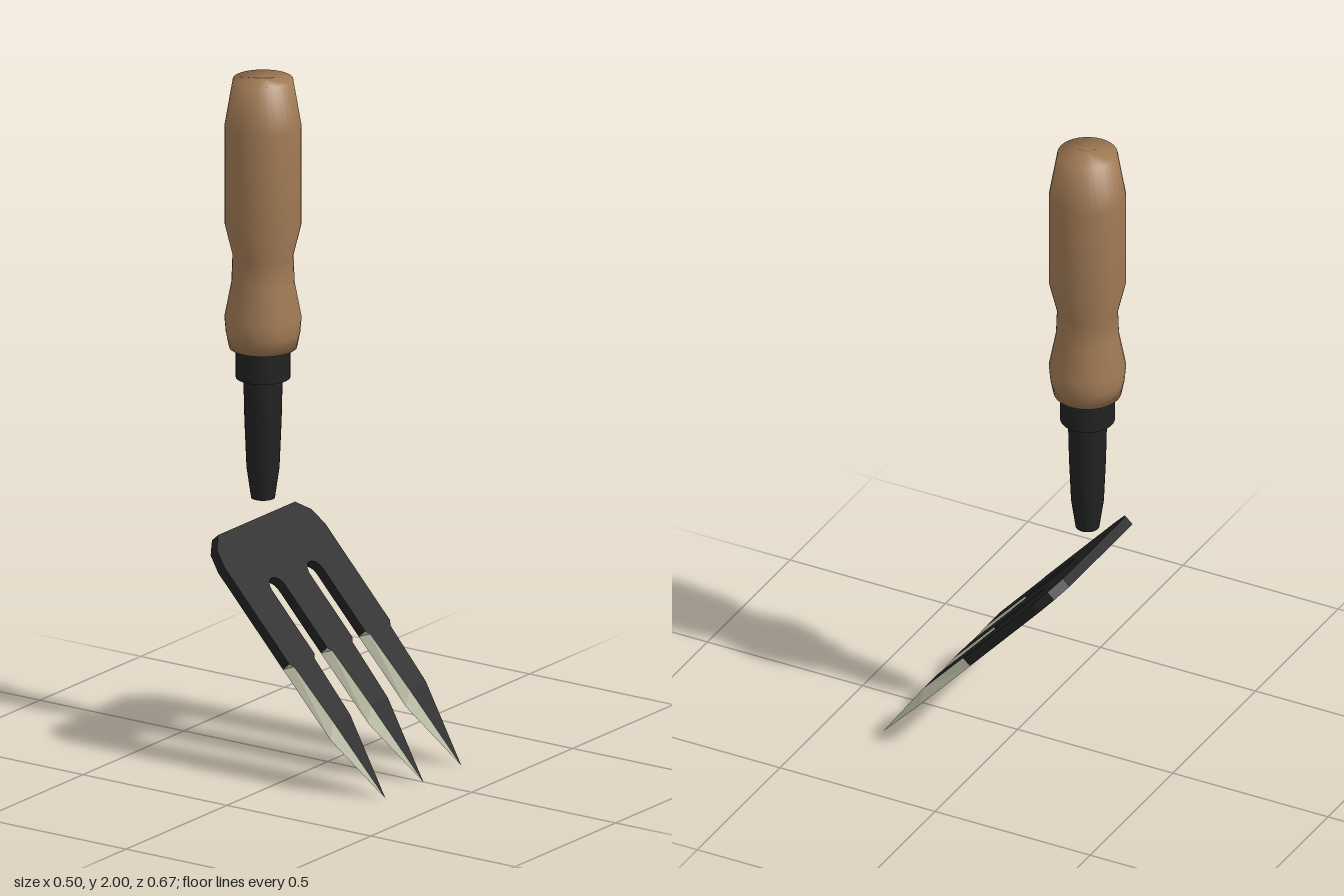
import * as THREE from 'three';
import { toCreasedNormals } from 'three/addons/utils/BufferGeometryUtils.js';

const wood = new THREE.MeshStandardMaterial({ color: 0xa07a55 });
wood.name = 'wood';
const blackMetal = new THREE.MeshStandardMaterial({ color: 0x222222 });
blackMetal.name = 'blackMetal';
const bareSteel = new THREE.MeshStandardMaterial({ color: 0xc4c6ad });
bareSteel.name = 'bareSteel';

const THICK = 0.03;
const TINE_TOP = 0.465; // where the sharpened part of a tine begins
const TINES = [-0.189, -0.001, 0.187];
const HALF = 0.062;

function lathe(name, profile, material, creased) {
  const points = profile.map(([r, y]) => new THREE.Vector2(r, y));
  let geometry = new THREE.LatheGeometry(points, 32);
  if (creased) geometry = toCreasedNormals(geometry, 0.6);
  const mesh = new THREE.Mesh(geometry, material);
  mesh.name = name;
  return mesh;
}

// Flat-faced mesh from convex polygons, each listed counter-clockwise
function facets(name, polygons, material) {
  const positions = [];
  for (const p of polygons) {
    for (let i = 1; i < p.length - 1; i++) positions.push(...p[0], ...p[i], ...p[i + 1]);
  }
  const geometry = new THREE.BufferGeometry();
  geometry.setAttribute('position', new THREE.Float32BufferAttribute(positions, 3));
  geometry.computeVertexNormals();
  const mesh = new THREE.Mesh(geometry, material);
  mesh.name = name;
  return mesh;
}

// Crossbar with the upper tines and two round-ended slots
function createPlate() {
  const s = new THREE.Shape();
  const left = TINES[0] - HALF;
  const right = TINES[2] + HALF;
  s.moveTo(left, TINE_TOP);
  for (let i = 0; i < 2; i++) {
    const a = TINES[i] + HALF;
    const b = TINES[i + 1] - HALF;
    s.lineTo(a, TINE_TOP);
    s.lineTo(a, 0.68);
    s.absellipse((a + b) / 2, 0.68, (b - a) / 2, 0.037, Math.PI, 0, true);
    s.lineTo(b, TINE_TOP);
  }
  s.lineTo(right, TINE_TOP);
  s.lineTo(right, 0.8);
  s.lineTo(right - 0.016, 0.855);
  s.lineTo(right - 0.06, 0.894);
  s.lineTo(left + 0.06, 0.894);
  s.lineTo(left + 0.016, 0.855);
  s.lineTo(left, 0.8);
  const geometry = new THREE.ExtrudeGeometry(s, { depth: THICK, bevelEnabled: false, curveSegments: 10 });
  const mesh = new THREE.Mesh(geometry, blackMetal);
  mesh.name = 'forkPlate';
  return mesh;
}

// Sharpened tine end: dark faces front and back, bare bevels at both sides
function createTineEnd() {
  const tip = [0, 0, 0];
  const side = (m) => ({
    top: [m * HALF, TINE_TOP, THICK],
    topBack: [m * HALF, TINE_TOP, 0],
    shoulder: [m * 0.05, 0.452, THICK],
    inner: [m * 0.042, 0.26, THICK],
    outer: [m * 0.061, 0.22, 0],
  });
  const l = side(-1);
  const r = side(1);
  const group = new THREE.Group();
  group.name = 'tineEnd';
  group.add(facets('tineFaces', [
    [l.top, l.shoulder, r.shoulder, r.top],
    [l.shoulder, l.inner, r.inner, r.shoulder],
    [l.inner, tip, r.inner],
    [r.topBack, r.outer, tip, l.outer, l.topBack],
  ], blackMetal));
  const bevel = (p) => [
    [p.top, p.shoulder, p.topBack],
    [p.topBack, p.shoulder, p.inner, p.outer],
    [p.outer, p.inner, tip],
  ];
  group.add(facets('tineBevels', [
    ...bevel(r),
    ...bevel(l).map((p) => p.reverse()),
  ], bareSteel));
  return group;
}

export function createModel() {
  const model = new THREE.Group();
  model.name = 'handFork';

  // Turned handle, ferrule and shank share one upright axis
  const grip = new THREE.Group();
  grip.name = 'grip';
  grip.position.z = -0.225;
  grip.add(lathe('handle', [
    [0, 1.2], [0.097, 1.2], [0.106, 1.245], [0.11, 1.29], [0.09, 1.395], [0.087, 1.475],
    [0.11, 1.57], [0.11, 1.86], [0.086, 2], [0, 2],
  ], wood, false));
  grip.add(lathe('ferrule', [[0, 1.11], [0.078, 1.11], [0.078, 1.2], [0, 1.2]], blackMetal, true));
  grip.add(lathe('shank', [
    [0, 0.75], [0.034, 0.75], [0.047, 0.84], [0.053, 0.98], [0.056, 1.11], [0, 1.11],
  ], blackMetal, true));
  model.add(grip);

  // Tilted fork head, built with its tips at the local origin
  const head = new THREE.Group();
  head.name = 'forkHead';
  head.position.set(0, 0.002, 0.333);
  head.rotation.x = -0.738;
  head.add(createPlate());
  for (const x of TINES) {
    const tine = createTineEnd();
    tine.position.x = x;
    head.add(tine);
  }
  model.add(head);
  return model;
}
